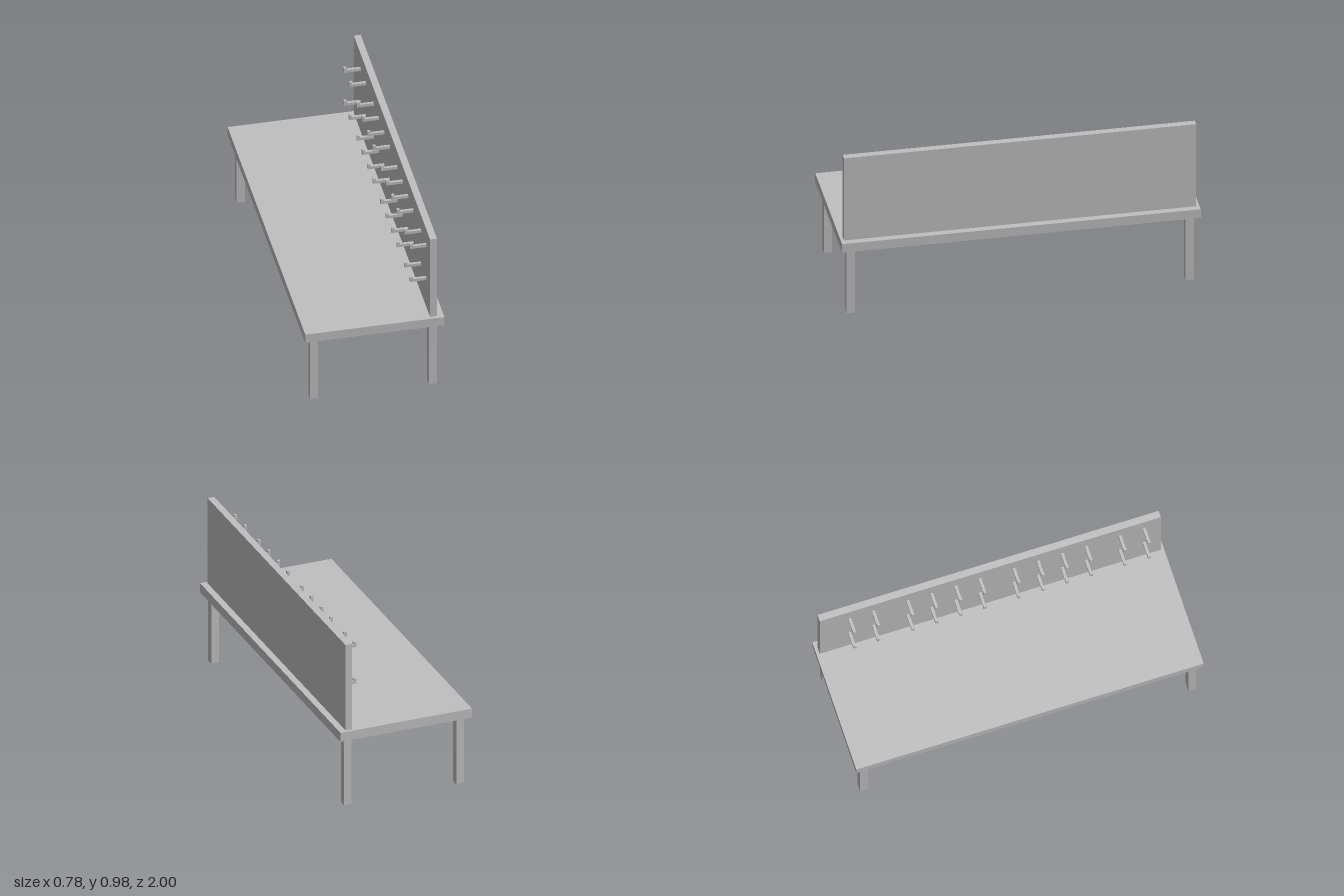
import * as THREE from 'three';

export function createModel() {
  const model = new THREE.Group();
  model.name = 'workbench';
  const grey = new THREE.MeshStandardMaterial({ color: 0xc0c0c0 });
  grey.name = 'plain grey';

  function addBox(name, w, h, d, x, y, z) {
    const mesh = new THREE.Mesh(new THREE.BoxGeometry(w, h, d), grey);
    mesh.name = name;
    mesh.position.set(x, y, z);
    model.add(mesh);
  }

  // Bench top and upright back panel
  const topBottom = 0.408, topSurface = 0.463, panelTop = 0.984;
  addBox('benchTop', 0.78, topSurface - topBottom, 2, 0, (topSurface + topBottom) / 2, 0);
  addBox('backPanel', 0.039, panelTop - topSurface, 1.964, 0.333, (panelTop + topSurface) / 2, 0);

  // Four square legs
  for (const x of [-0.333, 0.333]) {
    for (const z of [-0.945, 0.945]) {
      addBox('leg', 0.045, topBottom, 0.045, x, topBottom / 2, z);
    }
  }

  // L-shaped hook profile: bar reaching out from the panel, tip turned up
  const hookWidth = 0.016;
  const profile = new THREE.Shape([
    [0, 0], [0, 0.017], [-0.078, 0.017], [-0.078, 0.031], [-0.094, 0.031], [-0.094, 0],
  ].map(([x, y]) => new THREE.Vector2(x, y)).reverse());
  const hookGeometry = new THREE.ExtrudeGeometry(profile, { depth: hookWidth, bevelEnabled: false });
  hookGeometry.translate(0, 0, -hookWidth / 2);

  // Two rows of hooks in groups of two, four, four and two
  const hookZ = [-0.81, -0.673, -0.475, -0.338, -0.199, -0.06,
    0.136, 0.275, 0.414, 0.552, 0.747, 0.886];
  const hooks = new THREE.Group();
  hooks.name = 'hooks';
  for (const y of [0.65, 0.872]) {
    for (const z of hookZ) {
      const hook = new THREE.Mesh(hookGeometry, grey);
      hook.name = 'hook';
      hook.position.set(0.3135, y, z);
      hooks.add(hook);
    }
  }
  model.add(hooks);

  return model;
}
